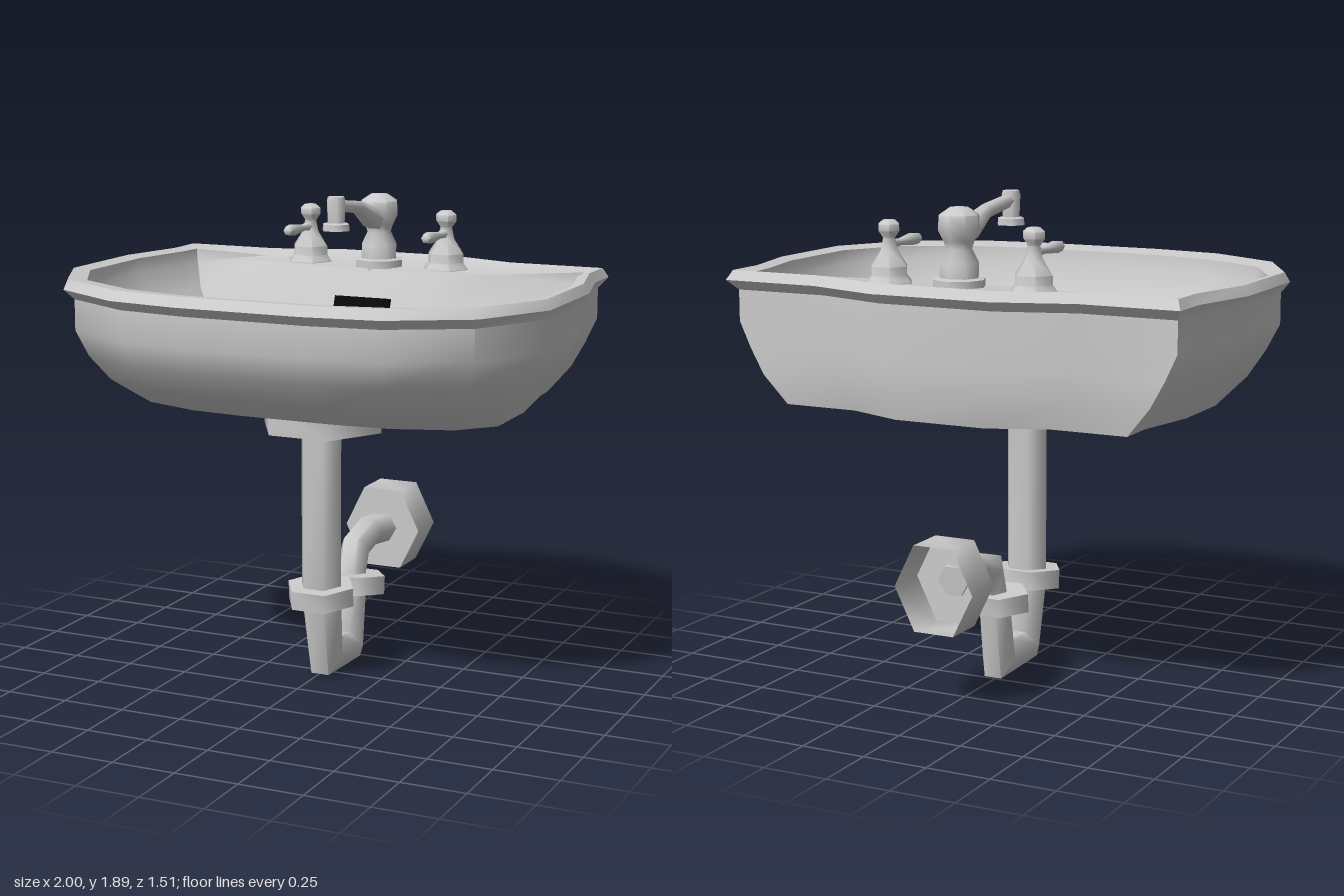
import * as THREE from 'three';
import { toCreasedNormals } from 'three/addons/utils/BufferGeometryUtils.js';

const grey = new THREE.MeshStandardMaterial({ color: 0xcccccc });
const greyThin = new THREE.MeshStandardMaterial({ color: 0xcccccc, side: THREE.DoubleSide });
const black = new THREE.MeshStandardMaterial({ color: 0x080808 });
const CX = 0.015; // plumbing sits a little off centre

function mesh(name, geometry, material = grey) {
  const m = new THREE.Mesh(geometry, material);
  m.name = name;
  return m;
}

// Skin a list of equal-length rings of [x, y, z]
function loft(rings, crease) {
  const n = rings[0].length, index = [];
  for (let i = 0; i < rings.length - 1; i++) {
    for (let j = 0; j < n; j++) {
      const k = (j + 1) % n, a = i * n + j, b = i * n + k;
      index.push(a, a + n, b, b, a + n, b + n);
    }
  }
  const g = new THREE.BufferGeometry();
  g.setAttribute('position', new THREE.Float32BufferAttribute(rings.flat(2), 3));
  g.setIndex(index);
  return toCreasedNormals(g, crease);
}

// Mitred pipe in the y-z plane through [y, z, radius] points, with closed ends
function pipe(points, x, sides = 6) {
  const centre = points.map(([y, z]) => new THREE.Vector2(z, y));
  const rings = points.map(([y, z, r], i) => {
    const last = points.length - 1;
    const before = centre[Math.max(i, 1)].clone().sub(centre[Math.max(i, 1) - 1]).normalize();
    const e = Math.min(i, last - 1);
    const after = centre[e + 1].clone().sub(centre[e]).normalize();
    const t = before.clone().add(after).normalize();
    const miter = 1 / Math.max(t.dot(after), 0.5);
    return Array.from({ length: sides }, (_, j) => {
      const a = (j / sides) * Math.PI * 2, s = Math.sin(a) * r * miter;
      return [x + Math.cos(a) * r, y - t.x * s, z + t.y * s];
    });
  });
  const cap = ([y, z]) => Array.from({ length: sides }, () => [x, y, z]);
  return loft([cap(points[0]), ...rings, cap(points[points.length - 1])], 1.1);
}

// Turned part from [radius, y] points, with side corners on the x axis
function turned(profile, sides = 6) {
  const g = new THREE.LatheGeometry(profile.map(([r, y]) => new THREE.Vector2(r, y)), sides);
  g.rotateY(Math.PI / 2);
  return toCreasedNormals(g, 1.1);
}

function disc(r, y0, y1) {
  return turned([[0, y0], [r, y0], [r, y1], [0, y1]]);
}

function createBasin() {
  // Half outlines [x, z], from back to front on the +x side
  const lip = [[0.24, -0.76], [0.54, -0.66], [0.93, -0.66], [0.93, -0.49], [1, -0.2],
    [1, 0.24], [0.84, 0.54], [0.54, 0.71], [0.25, 0.75]];
  const inner = [[0.27, -0.66], [0.53, -0.57], [0.86, -0.57], [0.87, -0.46], [0.93, -0.2],
    [0.93, 0.19], [0.8, 0.43], [0.54, 0.57], [0.28, 0.62]];
  // Bowl mouth: the back edge moves forward to leave a deck for the taps
  const mouth = inner.map(([x, z]) => [x, z]);
  mouth[0] = [0.27, -0.41];
  mouth[1] = [0.54, -0.46];

  const ring = (half, y, sx = 1, front = 1, back = 1) => {
    const side = half.map(([x, z], i) =>
      [x * sx, Array.isArray(y) ? y[i] : y, z * (z > 0 ? front : back)]);
    return [...side, ...side.map(([x, h, z]) => [-x, h, z]).reverse()];
  };
  return mesh('basin', loft([
    // underside and outer wall
    ring(lip, 1.09, 0, 0, 0),
    ring(lip, 1.09, 0.76, 0.45, 0.9),
    ring(lip, 1.2, 0.86, 0.74, 0.93),
    ring(lip, 1.3, 0.92, 0.88, 0.93),
    ring(lip, 1.4, 0.97, 0.93, 0.93),
    ring(lip, 1.52, 0.97, 0.93, 0.93),
    // rim
    ring(lip, 1.56),
    ring(lip, 1.597, 0.98, 0.965, 0.965),
    ring(inner, [1.575, 1.575, 1.585, 1.585, 1.585, 1.585, 1.585, 1.585, 1.585]),
    // deck edge and bowl
    ring(mouth, [1.57, 1.57, 1.53, 1.53, 1.53, 1.53, 1.53, 1.53, 1.53], 0.995, 0.99, 1),
    ring(mouth, 1.43, 0.92, 0.92, 0.83),
    ring(mouth, 1.25, 0.74, 0.78, 0.62),
    ring(mouth, 1.14, 0.42, 0.5, 0.34),
    ring(mouth, 1.12, 0, 0, 0),
  ], 0.75));
}

function createTap(x) {
  const tap = new THREE.Group();
  tap.name = 'tapHandle';
  const post = mesh('tapPost', turned([[0, 1.55], [0.097, 1.55], [0.095, 1.575], [0.075, 1.6],
    [0.075, 1.635], [0.035, 1.695], [0.025, 1.74], [0.044, 1.765], [0.044, 1.79],
    [0.025, 1.805], [0, 1.805]]));
  post.position.z = -0.525;
  const lever = mesh('tapLever', pipe([[1.715, -0.52, 0.02], [1.715, -0.45, 0.014],
    [1.717, -0.35, 0.025], [1.717, -0.31, 0.02], [1.717, -0.3, 0.01]], 0));
  tap.add(post, lever);
  tap.position.x = x;
  return tap;
}

function createFaucet() {
  const faucet = new THREE.Group();
  faucet.name = 'faucet';
  const body = mesh('faucetBody', turned([[0, 1.55], [0.1, 1.55], [0.1, 1.6], [0.075, 1.605],
    [0.075, 1.66], [0.05, 1.71], [0.06, 1.74], [0.08, 1.78], [0.077, 1.835],
    [0.035, 1.862], [0, 1.865]], 8));
  body.position.z = -0.505;
  const spout = mesh('spout', pipe([[1.76, -0.48, 0.045], [1.78, -0.41, 0.045],
    [1.83, -0.29, 0.028], [1.852, -0.12, 0.026], [1.856, -0.08, 0.026]], 0));
  const tip = mesh('spoutTip', turned([[0, 1.76], [0.058, 1.76], [0.055, 1.785], [0.036, 1.79],
    [0.04, 1.875], [0.035, 1.89], [0, 1.89]]));
  tip.position.z = -0.087;
  faucet.add(body, spout, tip);
  faucet.position.x = 0.01;
  return faucet;
}

function createPlumbing() {
  const plumbing = new THREE.Group();
  plumbing.name = 'plumbing';
  const collar = mesh('drainCollar', disc(0.25, 1.01, 1.1));
  collar.position.set(0.02, 0, 0.06);

  const trap = mesh('trapPipe', pipe([[1.03, 0.06, 0.085], [0.33, 0.06, 0.085],
    [0.075, 0.018, 0.075], [0.067, -0.185, 0.072], [0.32, -0.225, 0.068]], CX));
  const outlet = mesh('outletPipe', pipe([[0.32, -0.225, 0.06], [0.45, -0.268, 0.062],
    [0.486, -0.4, 0.062], [0.468, -0.56, 0.064]], CX));

  // Slip nuts, tilted with the pipe
  for (const [y, z, r, depth, tilt] of [[0.343, 0.065, 0.14, 0.98, 0.07],
    [0.318, -0.225, 0.148, 0.78, -0.08]]) {
    const nut = mesh('slipNut', disc(r, -0.037, 0.037));
    nut.scale.z = depth;
    nut.position.set(CX, y, z);
    nut.rotation.x = tilt;
    plumbing.add(nut);
  }

  // Wall flange: a hexagonal cup, open towards the wall
  const cup = mesh('wallFlange', turned([[0, 0.17], [0.163, 0.17], [0.163, 0]].reverse()), greyThin);
  cup.scale.z = 1.17;
  cup.rotation.x = Math.PI / 2;
  cup.position.set(CX, 0.467, -0.712);

  plumbing.add(collar, trap, outlet, cup);
  return plumbing;
}

export function createModel() {
  const model = new THREE.Group();
  model.name = 'washbasin';
  model.add(createBasin(), createFaucet(), createTap(-0.305), createTap(0.293), createPlumbing());

  // Drain hole and overflow slot
  const drain = mesh('drainHole', disc(0.075, 1.12, 1.145), black);
  drain.position.set(0.01, 0, -0.02);
  const slot = mesh('overflowSlot', new THREE.BoxGeometry(0.24, 0.055, 0.012), black);
  slot.position.set(0.01, 1.437, -0.336);
  slot.rotation.x = -0.35;
  model.add(drain, slot);
  return model;
}
